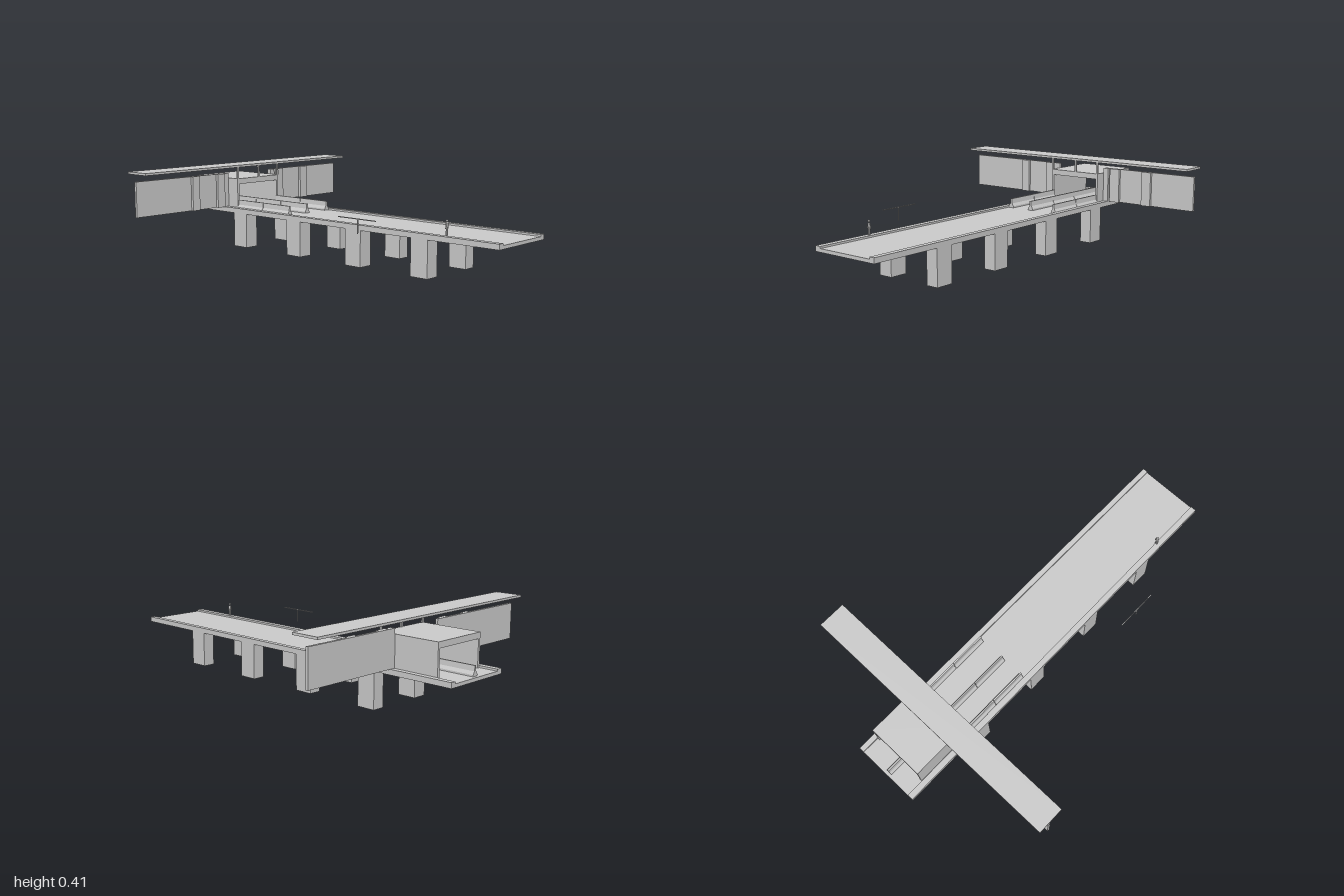
import * as THREE from 'three';

export function createModel() {
  const model = new THREE.Group();
  const mat = new THREE.MeshStandardMaterial({ color: 0xcccccc, flatShading: true });
  const smooth = new THREE.MeshStandardMaterial({ color: 0xcccccc });

  // Box given by its extents on each axis
  function box(name, [x0, x1], [y0, y1], [z0, z1], parent = model) {
    const mesh = new THREE.Mesh(new THREE.BoxGeometry(x1 - x0, y1 - y0, z1 - z0), mat);
    mesh.position.set((x0 + x1) / 2, (y0 + y1) / 2, (z0 + z1) / 2);
    mesh.name = name;
    parent.add(mesh);
    return mesh;
  }

  // Bridge deck with raised kerbs
  box('deck', [-0.145, 0.203], [0.171, 0.187], [-1, 1]);
  box('kerbRight', [-0.145, -0.116], [0.171, 0.196], [-1, 1]);
  box('kerbLeft', [0.177, 0.203], [0.171, 0.196], [-1, 1]);

  // Pairs of bridge piers
  for (const z of [0.595, 0.215, -0.168, -0.55]) {
    box('pierRight', [-0.145, -0.074], [0, 0.171], [z - 0.046, z + 0.046]);
    box('pierLeft', [0.142, 0.203], [0, 0.171], [z - 0.046, z + 0.046]);
  }

  // Tunnel gatehouse, open at both ends
  const gate = new THREE.Group();
  gate.name = 'gatehouse';
  model.add(gate);
  const gateZ = [-0.91, -0.602];
  box('gateWallRight', [-0.113, -0.101], [0.187, 0.343], gateZ, gate);
  box('gateWallLeft', [0.164, 0.176], [0.187, 0.343], gateZ, gate);
  box('gateRoof', [-0.113, 0.176], [0.315, 0.343], gateZ, gate);

  // Long walls on either side of the gate, with pilasters on the front
  const wallZ = [-0.685, -0.672];
  box('wallRight', [-0.69, -0.113], [0.196, 0.368], wallZ);
  box('wallLeft', [0.176, 0.69], [0.196, 0.368], wallZ);
  for (const span of [[-0.359, -0.314], [-0.196, -0.148], [0.176, 0.203], [0.214, 0.27], [0.403, 0.455]])
    box('pilaster', span, [0.196, 0.368], [-0.673, -0.659]);

  // Flat canopy on short posts
  box('canopy', [-0.69, 0.69], [0.402, 0.413], [-0.735, -0.598]);
  for (const x of [-0.109, 0.037, 0.172])
    box('canopyPost', [x - 0.005, x + 0.005], [0.343, 0.402], [-0.609, -0.601]);

  // Sloped lane barriers
  const half = [[0.0145, 0], [0.0145, 0.008], [0.006, 0.022], [0.004, 0.046]];
  const profile = new THREE.Shape([
    ...half.map(([x, y]) => new THREE.Vector2(x, y)),
    ...half.slice().reverse().map(([x, y]) => new THREE.Vector2(-x, y)),
  ]);
  function barrier(x, z0, z1) {
    const geo = new THREE.ExtrudeGeometry(profile, { depth: z1 - z0, bevelEnabled: false });
    const mesh = new THREE.Mesh(geo, mat);
    mesh.position.set(x, 0.187, z0);
    mesh.name = 'laneBarrier';
    model.add(mesh);
  }
  for (const x of [-0.1, 0.022, 0.164]) {
    barrier(x, -0.419, -0.235);
    barrier(x, -0.602, -0.421);
  }
  barrier(0.022, -0.985, -0.604);

  // Thin T-shaped lamp beside the deck
  box('lampStem', [-0.295, -0.291], [0.187, 0.252], [0.372, 0.376]);
  box('lampArm', [-0.295, -0.291], [0.25, 0.254], [0.262, 0.475]);

  // Small standing figure on the kerb
  const figure = new THREE.Group();
  figure.name = 'figure';
  figure.position.set(-0.12, 0.196, 0.723);
  model.add(figure);
  function limb(name, x0, y0, x1, y1, r) {
    const a = new THREE.Vector3(x0, y0, 0);
    const b = new THREE.Vector3(x1, y1, 0);
    const mesh = new THREE.Mesh(new THREE.CapsuleGeometry(r, a.distanceTo(b), 3, 8), smooth);
    mesh.position.copy(a).lerp(b, 0.5);
    mesh.quaternion.setFromUnitVectors(new THREE.Vector3(0, 1, 0), b.clone().sub(a).normalize());
    mesh.name = name;
    figure.add(mesh);
  }
  for (const s of [-1, 1]) {
    limb('leg', s * 0.004, 0.003, s * 0.003, 0.033, 0.0028);
    limb('arm', s * 0.009, 0.032, s * 0.007, 0.053, 0.002);
  }
  limb('torso', 0, 0.038, 0, 0.051, 0.0055);
  const head = new THREE.Mesh(new THREE.SphereGeometry(0.0055, 10, 8), smooth);
  head.position.y = 0.064;
  head.name = 'head';
  figure.add(head);

  return model;
}
